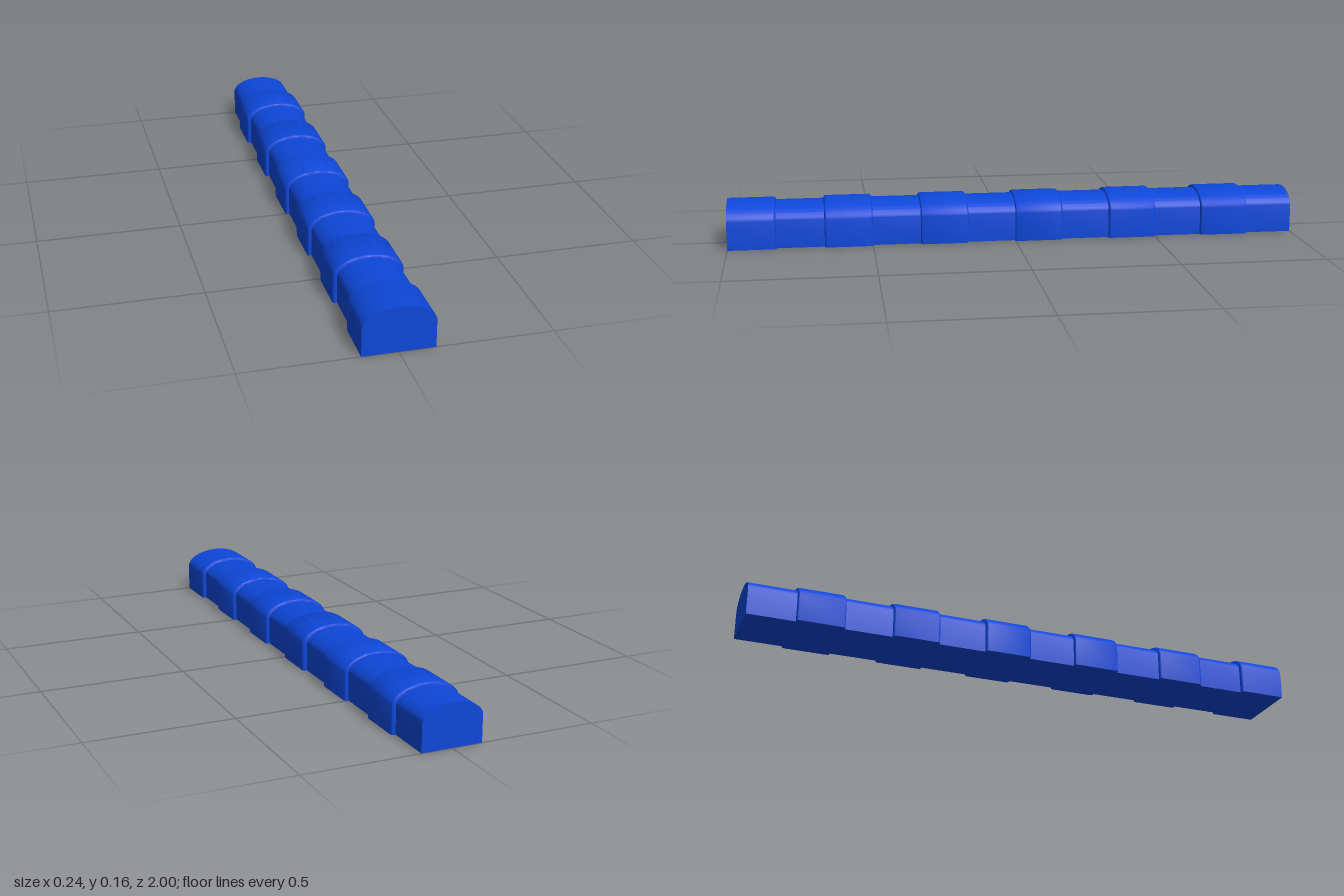
import * as THREE from 'three';
import { toCreasedNormals } from 'three/addons/utils/BufferGeometryUtils.js';

const SPRING = 0.093; // height where the straight sides meet the arched top
const ARC = 32;

// Arch outline, counter-clockwise seen from +z: flat base, straight sides, elliptical top
function archOutline(halfWidth, height) {
  const pts = [[-halfWidth, 0], [halfWidth, 0]];
  for (let i = 0; i <= ARC; i++) {
    const a = (i / ARC) * Math.PI;
    pts.push([Math.cos(a) * halfWidth, SPRING + Math.sin(a) * (height - SPRING)]);
  }
  return pts;
}

// Closed loft through arch sections listed from back to front as [z, inset]
function loftArch(halfWidth, height, sections) {
  const pos = [], index = [];
  const n = ARC + 3;
  for (const [z, inset] of sections) {
    for (const [x, y] of archOutline(halfWidth - inset, height - inset)) pos.push(x, y, z);
  }
  for (let s = 0; s < sections.length - 1; s++) {
    for (let i = 0; i < n; i++) {
      const a = s * n + i, b = s * n + (i + 1) % n;
      index.push(a, b, b + n, a, b + n, a + n);
    }
  }
  // End caps as fans
  const last = (sections.length - 1) * n;
  for (let i = 1; i < n - 1; i++) {
    index.push(0, i + 1, i);
    index.push(last, last + i, last + i + 1);
  }
  const geo = new THREE.BufferGeometry();
  geo.setAttribute('position', new THREE.Float32BufferAttribute(pos, 3));
  geo.setIndex(index);
  return toCreasedNormals(geo, Math.PI / 5);
}

export function createModel() {
  const group = new THREE.Group();
  group.name = 'segmentedBar';
  const material = new THREE.MeshStandardMaterial({ color: 0x0d47d9 });
  const count = 12, length = 2 / count, round = 0.008, steps = 4;

  for (let i = 0; i < count; i++) {
    const front = 1 - i * length, back = front - length;
    const wide = i % 2 === 0;
    const sections = [];
    if (wide) {
      // Rounded rims; the foremost end is cut square
      const rim = [];
      for (let k = 0; k <= steps; k++) {
        const a = (k / steps) * Math.PI / 2;
        rim.push([round * (1 - Math.sin(a)), round * (1 - Math.cos(a))]);
      }
      for (const [d, inset] of [...rim].reverse()) sections.unshift([back + d, inset]);
      sections.sort((p, q) => p[0] - q[0]);
      if (i === 0) sections.push([front, 0]);
      else for (const [d, inset] of rim) sections.push([front - d, inset]);
      sections.sort((p, q) => p[0] - q[0]);
    } else {
      sections.push([back, 0], [front, 0]);
    }
    const geo = wide ? loftArch(0.118, 0.155, sections) : loftArch(0.104, 0.146, sections);
    const mesh = new THREE.Mesh(geo, material);
    mesh.name = (wide ? 'wideSegment' : 'narrowSegment') + (Math.floor(i / 2) + 1);
    group.add(mesh);
  }
  return group;
}
